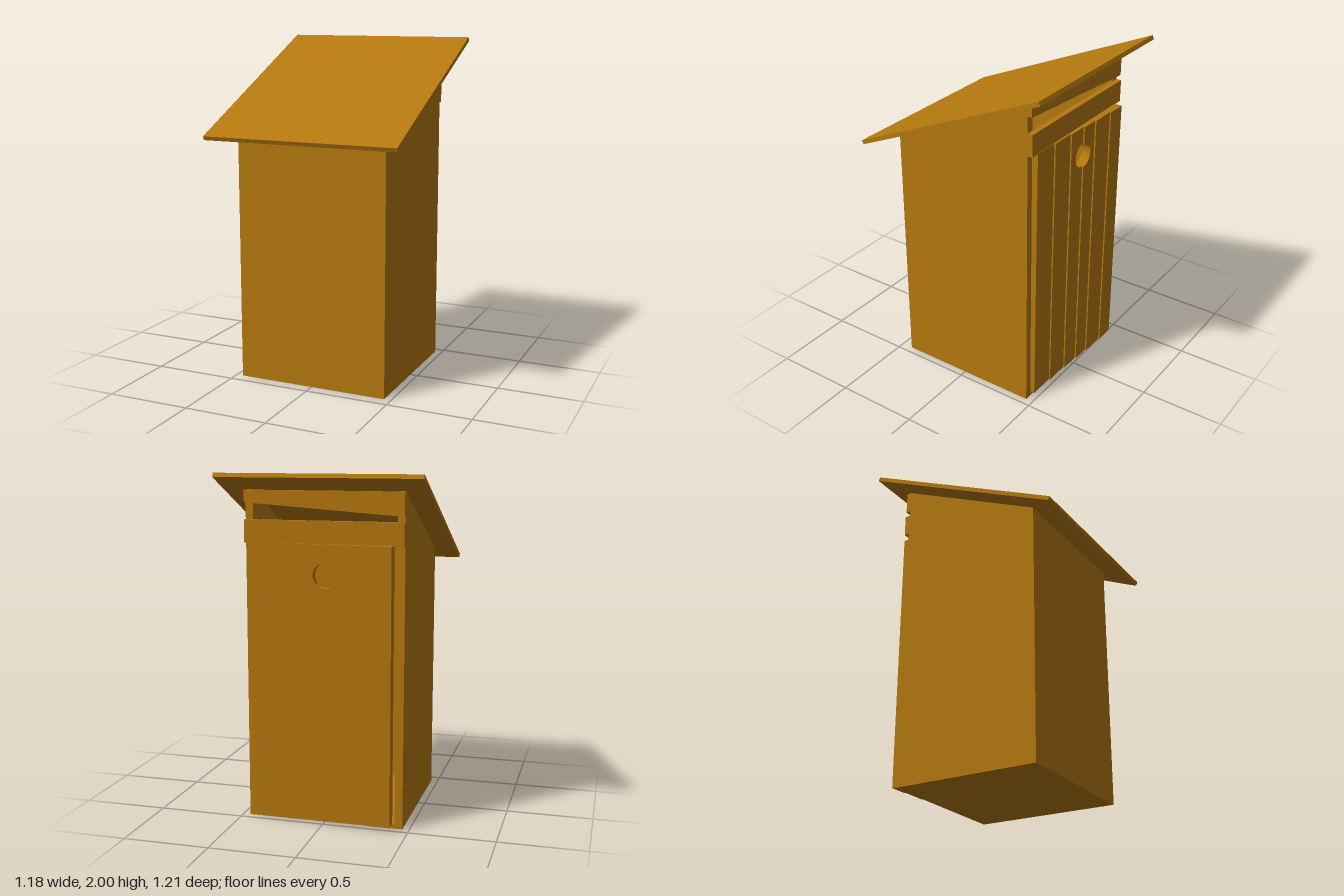
import * as THREE from 'three';

export function createModel() {
  const group = new THREE.Group();
  group.name = 'woodenOuthouse';
  const wood = new THREE.MeshStandardMaterial({ color: 0xb5780f, flatShading: true });

  const add = (name, geometry) => {
    const mesh = new THREE.Mesh(geometry, wood);
    mesh.name = name;
    group.add(mesh);
    return mesh;
  };
  const outline = (points) => new THREE.Shape(points.map(([a, b]) => new THREE.Vector2(a, b)));
  const extrude = (shape, depth) =>
    new THREE.ExtrudeGeometry(shape, { depth, bevelEnabled: false, curveSegments: 12 });

  // Extrudes a (z, y) profile across x, from xMin to xMax
  const across = (name, points, xMin, xMax) => {
    const geometry = extrude(outline(points), xMax - xMin);
    geometry.rotateY(-Math.PI / 2).translate(xMax, 0, 0);
    return add(name, geometry);
  };
  // Extrudes an (x, y) shape from zMin to zMax
  const along = (name, shape, zMin, zMax) =>
    add(name, extrude(shape, zMax - zMin).translate(0, 0, zMin));

  // Height of the roof's underside at a given z
  const eaves = (z) => 1.445 + (0.595 - z) * 0.445;

  // Sloping roof slab
  across('roof', [[0.595, 1.445], [0.605, 1.468], [-0.595, 2.0], [-0.605, 1.977]], -0.588, 0.588);

  // Hollow body: two sides, closed wall and floor
  const sideProfile = [[0.43, 0], [0.43, eaves(0.43)], [-0.445, eaves(-0.445)], [-0.455, 0]];
  across('leftWall', sideProfile, 0.415, 0.458);
  across('rightWall', sideProfile, -0.46, -0.415);
  across('closedWall', [[0.43, 0], [0.43, eaves(0.43)], [0.4, eaves(0.4)], [0.4, 0]], -0.415, 0.415);
  across('floor', [[0.4, 0], [0.4, 0.025], [-0.455, 0.025], [-0.455, 0]], -0.415, 0.415);

  // Board above the door, and a tapered board under the roof with a slot between
  along('doorLintel', outline([[-0.46, 1.61], [0.458, 1.61], [0.458, 1.74], [-0.46, 1.74]]), -0.477, -0.445);
  along('upperBoard', outline([[-0.46, 1.77], [0.458, 1.835], [0.458, 1.904], [-0.46, 1.904]]), -0.472, -0.445);

  // Door planks, each standing a little further out than the last
  const edges = [0.41, 0.25, 0.1, -0.02, -0.13, -0.28, -0.4];
  const bottom = 0.025, top = 1.613, holeY = 1.44, holeR = 0.072;
  for (let i = 0; i < edges.length - 1; i++) {
    const a = edges[i], b = edges[i + 1];
    const shape = new THREE.Shape();
    // The two middle planks share a round peephole cut on their joint
    const cut = i === 2 || i === 3;
    const inner = i === 2 ? b : a;
    const outer = i === 2 ? a : b;
    shape.moveTo(outer, bottom);
    shape.lineTo(outer, top);
    shape.lineTo(inner, top);
    if (cut) {
      shape.lineTo(inner, holeY + holeR);
      if (i === 2) shape.absarc(inner, holeY, holeR, Math.PI / 2, -Math.PI / 2, true);
      else shape.absarc(inner, holeY, holeR, Math.PI / 2, Math.PI * 1.5, false);
    }
    shape.lineTo(inner, bottom);
    shape.closePath();
    along('doorPlank' + (i + 1), shape, -0.48 - i * 0.0085, -0.45);
  }

  return group;
}
